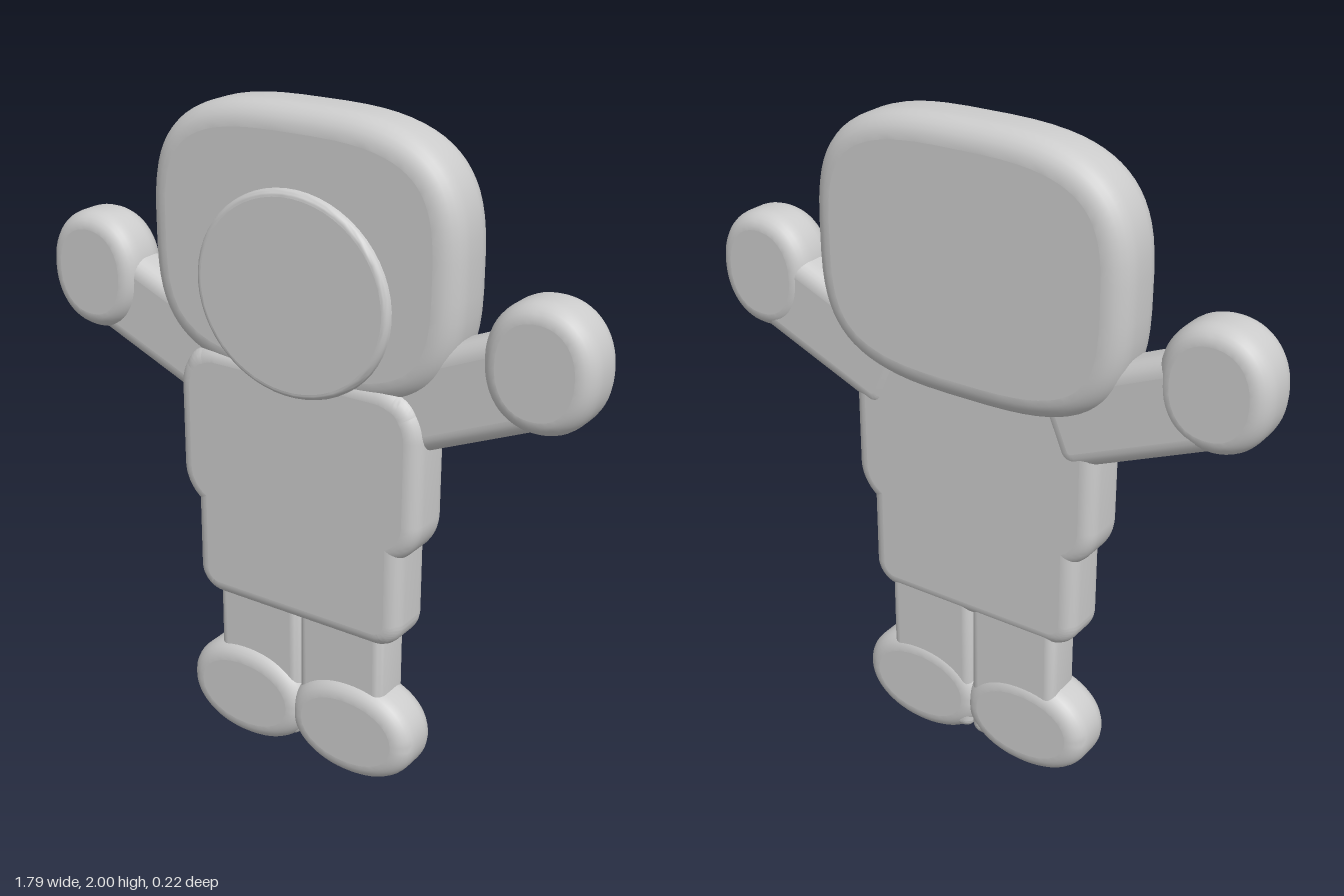
import * as THREE from 'three';
import { toCreasedNormals } from 'three/addons/utils/BufferGeometryUtils.js';

const grey = new THREE.MeshStandardMaterial({ color: 0xcccccc });
grey.name = 'light grey';

// Rounded outline: power 2 is an ellipse, higher powers are squarer
function oval(rx, ry, power = 2, steps = 56) {
  const bend = (v) => Math.sign(v) * Math.pow(Math.abs(v), 2 / power);
  const points = [];
  for (let i = 0; i < steps; i++) {
    const a = ((i + 0.5) / steps) * Math.PI * 2;
    points.push(new THREE.Vector2(rx * bend(Math.cos(a)), ry * bend(Math.sin(a))));
  }
  return new THREE.Shape(points);
}

// Rectangle with circular corners, centred on the origin
function roundRect(w, h, r) {
  const s = new THREE.Shape();
  const x = w / 2 - r, y = h / 2 - r;
  s.absarc(x, y, r, 0, Math.PI / 2);
  s.absarc(-x, y, r, Math.PI / 2, Math.PI);
  s.absarc(-x, -y, r, Math.PI, Math.PI * 1.5);
  s.absarc(x, -y, r, Math.PI * 1.5, Math.PI * 2);
  s.closePath();
  return s;
}

// Flat padded slab between two depths with a soft rolled rim
function slab(name, shape, x, y, back, front, rim, rimDepth = rim) {
  let geo = new THREE.ExtrudeGeometry(shape, {
    depth: front - back - rimDepth * 2,
    bevelEnabled: true, bevelSize: rim, bevelOffset: -rim,
    bevelThickness: rimDepth, bevelSegments: 6, curveSegments: 10,
  });
  const caps = geo.groups[0];
  geo.translate(0, 0, back + rimDepth);
  geo = toCreasedNormals(geo, 0.9);
  // Keep both faces perfectly flat
  const mid = (front + back) / 2;
  for (let i = caps.start; i < caps.start + caps.count; i++) {
    geo.attributes.normal.setXYZ(i, 0, 0, geo.attributes.position.getZ(i) > mid ? 1 : -1);
  }
  geo.clearGroups();
  const mesh = new THREE.Mesh(geo, grey);
  mesh.name = name;
  mesh.position.set(x, y, 0);
  return mesh;
}

export function createModel() {
  const model = new THREE.Group();
  model.name = 'figure';

  // Head and face disc
  model.add(slab('head', oval(0.505, 0.4, 3.1, 72), 0, 1.6, -0.113, 0.09, 0.07));
  model.add(slab('face', oval(0.318, 0.295), 0, 1.487, 0, 0.111, 0.02));

  // Torso and hips
  model.add(slab('torso', roundRect(0.82, 0.53, 0.14), 0, 1.015, -0.07, 0.095, 0.045));
  model.add(slab('shoulders', roundRect(0.79, 0.4, 0.09), 0, 1.07, -0.07, 0.095, 0.045));
  model.add(slab('hips', roundRect(0.715, 0.62, 0.085), 0, 0.79, -0.07, 0.095, 0.045));

  for (const side of [1, -1]) {
    const label = side > 0 ? 'left' : 'right';

    // Raised arm and mitten
    const arm = slab(label + 'Arm', roundRect(0.56, 0.272, 0.06), side * 0.51, 1.298, -0.075, 0.065, 0.05);
    arm.rotation.z = side * 0.4;
    model.add(arm);
    model.add(slab(label + 'Hand', oval(0.162, 0.179, 2.15), side * 0.735, 1.421, -0.08, 0.09, 0.05, 0.06));

    // Leg and foot
    model.add(slab(label + 'Leg', roundRect(0.295, 0.5, 0.035), side * 0.147, 0.3, -0.065, 0.07, 0.03));
    model.add(slab(label + 'Foot', oval(0.213, 0.16, 2.1), side * 0.187, 0.16, -0.072, 0.095, 0.055));
  }
  return model;
}
